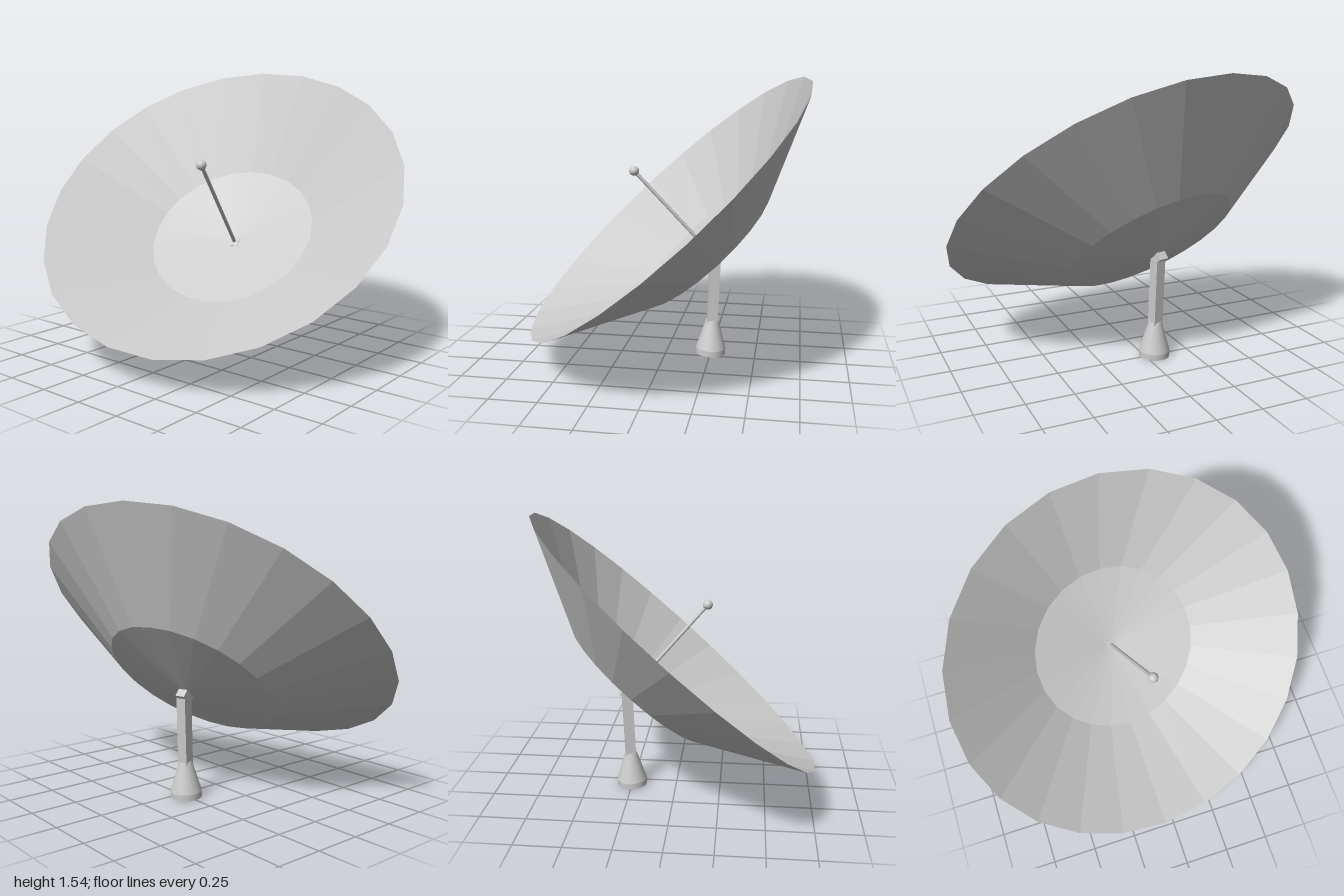
import * as THREE from 'three';

const grey = (extra = {}) => new THREE.MeshStandardMaterial({ color: 0xcccccc, ...extra });

function add(parent, name, geometry, y = 0, material = grey()) {
  const mesh = new THREE.Mesh(geometry, material);
  mesh.name = name;
  mesh.position.y = y;
  parent.add(mesh);
  return mesh;
}

// Group whose y axis follows `up` and whose z axis leans towards `front`
function orientedGroup(name, origin, up, front) {
  const y = up.clone().normalize();
  const x = new THREE.Vector3().crossVectors(y, front).normalize();
  const z = new THREE.Vector3().crossVectors(x, y);
  const group = new THREE.Group();
  group.name = name;
  group.quaternion.setFromRotationMatrix(new THREE.Matrix4().makeBasis(x, y, z));
  group.position.copy(origin);
  return group;
}

export function createModel() {
  const model = new THREE.Group();
  model.name = 'satelliteDish';

  const axis = new THREE.Vector3(0.163, 0.738, 0.655).normalize();
  const heading = new THREE.Vector3(axis.x, 0, axis.z).normalize();
  const apex = new THREE.Vector3(-0.065, 0.561, -0.262);

  // Reflector: thin faceted sheet, shallow cone inside a steeper ring
  const reflector = orientedGroup('reflector', apex, axis, new THREE.Vector3(-0.2, 0.682, -0.72));
  const profile = [[0, 0], [0.473, 0.083], [1.013, 0.397]].map(([r, h]) => new THREE.Vector2(r, h));
  add(reflector, 'dish', new THREE.LatheGeometry(profile, 24), 0,
    grey({ flatShading: true, side: THREE.DoubleSide }));
  model.add(reflector);

  // Feed arm along the dish axis, with its mounting block behind the apex
  const feed = orientedGroup('feed', apex, axis, heading);
  add(feed, 'mountBlock', new THREE.BoxGeometry(0.056, 0.045, 0.07), -0.014);
  add(feed, 'feedRod', new THREE.CylinderGeometry(0.01, 0.01, 0.65, 12), 0.325);
  add(feed, 'feedBall', new THREE.SphereGeometry(0.027, 20, 14), 0.65);
  model.add(feed);

  // Pedestal: square post on a flared foot, leaning very slightly back
  const pedestal = orientedGroup('pedestal', new THREE.Vector3(-0.052, 0.003, -0.25),
    new THREE.Vector3(-0.015, 1, -0.036), heading);
  add(pedestal, 'post', new THREE.BoxGeometry(0.056, 0.4, 0.056), 0.345);
  add(pedestal, 'footCone', new THREE.CylinderGeometry(0.034, 0.083, 0.162, 24), 0.113);
  add(pedestal, 'footBase', new THREE.CylinderGeometry(0.083, 0.083, 0.032, 24), 0.016);
  model.add(pedestal);

  return model;
}
